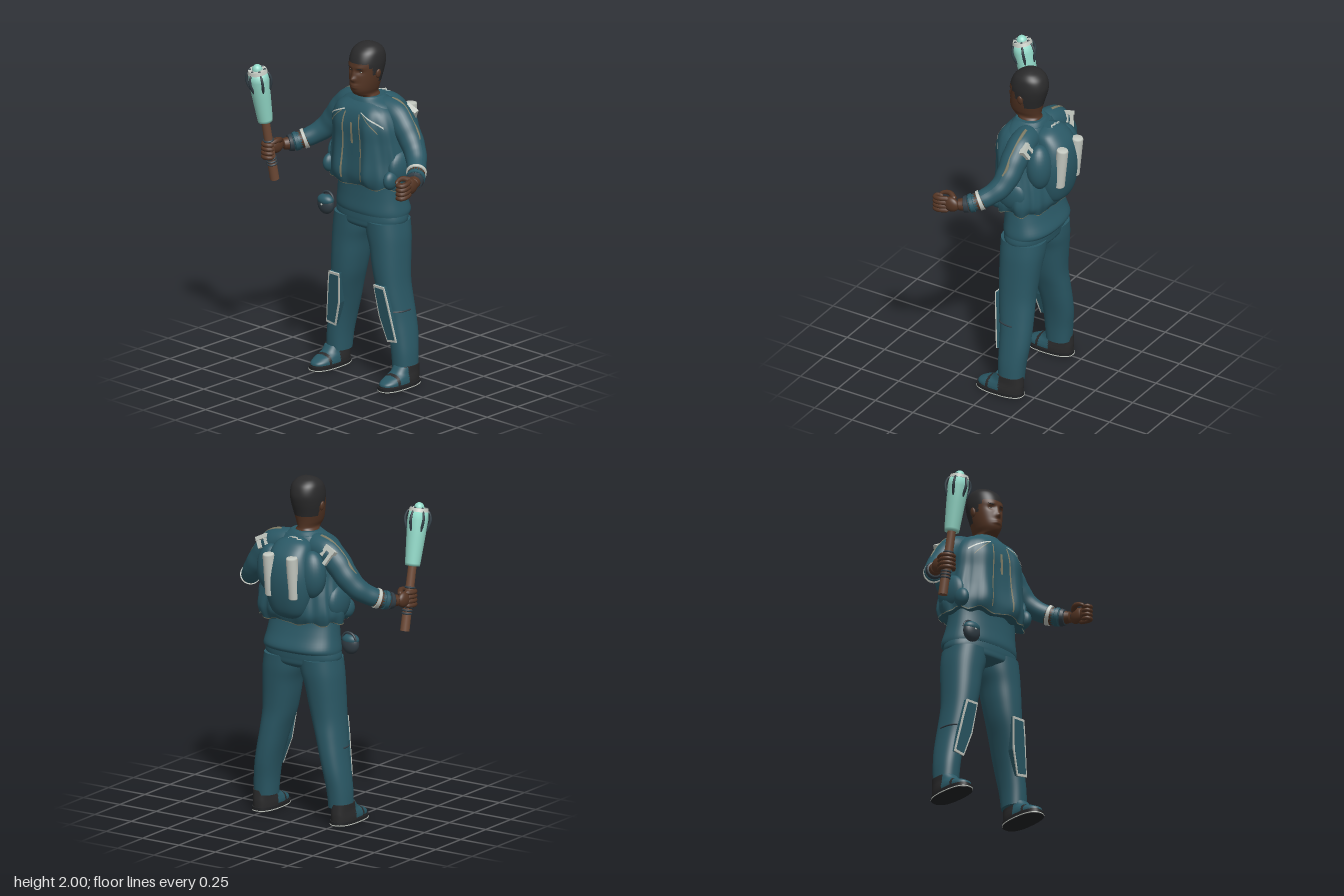
import * as THREE from 'three';

const mat = (name, color, side = THREE.FrontSide) => Object.assign(new THREE.MeshStandardMaterial({ color, side }), { name });

export function createModel() {
  const teal = mat('teal cloth', 0x2a5865), slate = mat('dark slate', 0x323e46), hairM = mat('black hair', 0x2a2a2b),
    skin = mat('brown skin', 0x543524), pale = mat('pale grey', 0xc3c8c0, THREE.DoubleSide), tan = mat('tan trim', 0x807d66, THREE.DoubleSide),
    glow = mat('mint', 0x93dac9), wood = mat('wood', 0x6e4a36), sole = mat('black rubber', 0x222325);
  const root = new THREE.Group();
  const MID = 0.007; // the stance leans slightly to the left
  const add = (name, geo, m, pos = [0, 0, 0], parent = root) => {
    const mesh = new THREE.Mesh(geo, m);
    mesh.name = name;
    mesh.position.set(...pos);
    parent.add(mesh);
    return mesh;
  };
  const blob = (name, m, pos, size, parent) => {
    const mesh = add(name, new THREE.SphereGeometry(1, 28, 18), m, pos, parent);
    mesh.scale.set(...size);
    return mesh;
  };
  const V = (x, y, z) => new THREE.Vector3(x, y, z);
  const bell = (d, w) => Math.exp(-(d * d) / (w * w));

  // Rings are [y, centre x, front z, back z, half width], blended smoothly
  const sample = (rings, u) => {
    const f = Math.min(Math.max(u, 0), 1) * (rings.length - 1), i = Math.min(Math.floor(f), rings.length - 2), t = f - i;
    const at = k => rings[Math.min(Math.max(k, 0), rings.length - 1)];
    return rings[0].map((_, k) => {
      const a = at(i - 1)[k], b = at(i)[k], c = at(i + 1)[k], d = at(i + 2)[k];
      return b + 0.5 * t * (c - a + t * (2 * a - 5 * b + 4 * c - d + t * (3 * (b - c) + d - a)));
    });
  };
  const surface = (rings, a, u, n, tweak) => {
    const [y, cx, zf, zb, rx] = sample(rings, u), pw = v => Math.sign(v) * Math.abs(v) ** (2 / n);
    const p = V(cx + rx * pw(Math.sin(a)), y, (zf + zb) / 2 + (zf - zb) / 2 * pw(Math.cos(a)));
    if (tweak) tweak(p, a, u);
    return p;
  };
  // Closed body from stacked rings; paint picks a material per face
  const loft = (rings, { n = 2, seg = 48, rows = 40, tweak, paint } = {}) => {
    const pts = [], faces = [[], []];
    for (let j = 0; j <= rows; j++)
      for (let i = 0; i < seg; i++) pts.push(surface(rings, i / seg * Math.PI * 2, j / rows, n, tweak));
    const tri = (a, b, c) => {
      const mid = pts[a].clone().add(pts[b]).add(pts[c]).divideScalar(3);
      faces[paint ? paint(mid) : 0].push(a, b, c);
    };
    for (let j = 0; j < rows; j++)
      for (let i = 0; i < seg; i++) {
        const a = j * seg + i, b = j * seg + (i + 1) % seg;
        tri(a, b, b + seg);
        tri(a, b + seg, a + seg);
      }
    for (const j of [0, rows]) {
      const s = pts.length, mid = V(0, 0, 0);
      for (let i = 0; i < seg; i++) { pts.push(pts[j * seg + i].clone()); mid.addScaledVector(pts[s + i], 1 / seg); }
      pts.push(mid);
      for (let i = 0; i < seg; i++) {
        const k = s + (i + 1) % seg;
        j ? tri(s + i, k, s + seg) : tri(k, s + i, s + seg);
      }
    }
    const g = new THREE.BufferGeometry().setFromPoints(pts);
    g.setIndex([...faces[0], ...faces[1]]);
    if (paint) { g.addGroup(0, faces[0].length, 0); g.addGroup(faces[0].length, faces[1].length, 1); }
    g.computeVertexNormals();
    return g;
  };
  // Tube whose radius varies along [x, y, z, radius] points
  const sweep = (path, { t0 = 0, t1 = 1, extra = 0, rows = 32, seg = 20, fold = 0 } = {}) => {
    const full = new THREE.CatmullRomCurve3(path.map(p => V(p[0], p[1], p[2])));
    const curve = new THREE.CatmullRomCurve3(Array.from({ length: 9 }, (_, i) => full.getPoint(t0 + (t1 - t0) * i / 8)));
    const g = new THREE.TubeGeometry(curve, rows, 1, seg), pos = g.attributes.position, v = V(0, 0, 0);
    const radii = path.map(p => [p[3]]);
    for (let k = 0; k < pos.count; k++) {
      const u = Math.floor(k / (seg + 1)) / rows, c = curve.getPointAt(u);
      const end = u === 0 || u === 1 ? 0.55 : 1;
      const r = (sample(radii, t0 + (t1 - t0) * u)[0] + extra) * end * (1 + fold * Math.sin(u * 40));
      v.fromBufferAttribute(pos, k).sub(c).multiplyScalar(r).add(c);
      pos.setXYZ(k, v.x, v.y, v.z);
    }
    g.computeVertexNormals();
    return g;
  };
  const wire = (pts, r) => new THREE.TubeGeometry(new THREE.CatmullRomCurve3(pts), 28, r, 6);

  // Flat ribbon; edge(t, side) gives the two borders
  const ribbon = (edge, steps) => {
    const pts = [], idx = [];
    for (let i = 0; i <= steps; i++) {
      pts.push(edge(i / steps, -1), edge(i / steps, 1));
      if (i) idx.push(2 * i - 2, 2 * i - 1, 2 * i + 1, 2 * i - 2, 2 * i + 1, 2 * i);
    }
    const g = new THREE.BufferGeometry().setFromPoints(pts);
    g.setIndex(idx);
    g.computeVertexNormals();
    return g;
  };

  // Head and neck, with nose, brow, eye sockets and lips raised by rule
  const headRings = [[1.6, .005, .01, -.16, .088], [1.66, .005, .005, -.15, .08], [1.69, .005, .002, -.14, .064],
    [1.708, .005, .032, -.136, .056], [1.74, .005, .05, -.14, .068], [1.79, .005, .05, -.152, .081], [1.85, .005, .047, -.17, .091],
    [1.9, .005, .045, -.178, .094], [1.95, .005, .024, -.165, .086], [1.98, .005, -.01, -.136, .064],
    [1.995, .005, -.045, -.1, .034], [2, .005, -.07, -.074, .002]];
  const face = p => {
    if (p.z < -.02) return;
    const x = p.x - .005, ax = Math.abs(x);
    p.z += .02 * bell(x, .016) * bell(p.y - 1.803, .015) + .01 * bell(x, .012) * bell(p.y - 1.835, .025)
      + .005 * bell(ax - .03, .03) * bell(p.y - 1.872, .012) - .011 * bell(ax - .036, .018) * bell(p.y - 1.848, .014)
      + .008 * bell(x, .026) * (bell(p.y - 1.768, .007) + bell(p.y - 1.754, .007));
  };
  const hairline = p => p.y > (p.z > .005 ? 1.895 : p.z > -.02 ? 1.87 : p.z > -.04 ? 1.825 : p.z > -.075 ? 1.85 : 1.775) ? 1 : 0;
  add('headAndHair', loft(headRings, { seg: 80, rows: 100, n: 2.15, tweak: face, paint: hairline }), [skin, hairM]);
  for (const s of [-1, 1]) {
    blob('ear', skin, [.005 + s * .092, 1.832, -.058], [.01, .028, .018]).rotation.z = -s * .15;
    blob('eyeWhite', pale, [.005 + s * .036, 1.848, .027], [.01, .0035, .005]);
    blob('iris', sole, [.005 + s * .035, 1.848, .0305], [.005, .004, .003]);
    blob('eyebrow', hairM, [.005 + s * .037, 1.869, .0385], [.02, .004, .005]).rotation.set(0, s * .4, s * .15);
  }

  // Shirt and trouser seat
  add('shirt', loft([[.998, MID, .03, -.255, .237], [1.025, MID, .035, -.265, .237], [1.1, MID, .03, -.235, .224],
    [1.2, MID, .03, -.21, .216], [1.35, MID, .05, -.21, .22], [1.5, MID, .06, -.2, .212], [1.6, MID, .055, -.19, .19],
    [1.65, MID, .025, -.18, .16], [1.68, MID, .01, -.165, .1], [1.69, MID, .002, -.155, .085]], { n: 2.4 }), teal);
  add('trouserSeat', loft([[.895, MID, -.03, -.18, .1], [.92, MID, .02, -.225, .2], [.96, MID, .028, -.235, .238],
    [1.01, MID, .028, -.24, .234]], { n: 2.3 }), teal);

  // Quilted vest with folds, puffed front edges and a wavy hem
  const vestRings = [[1.18, .015, .065, -.26, .255], [1.24, .015, .075, -.28, .268], [1.34, .015, .07, -.27, .255],
    [1.44, .015, .07, -.245, .24], [1.54, .01, .074, -.225, .23], [1.62, .008, .055, -.2, .19], [1.67, .007, .012, -.175, .12]];
  const folds = (p, a, u) => {
    const low = Math.max(0, 1 - u * 1.15), k = 1 + .03 * low * Math.sin(a * 11 + 4 * u) + .012 * low * Math.sin(a * 23);
    p.x = .01 + (p.x - .01) * k;
    p.z = -.09 + (p.z + .09) * k;
    if (p.z > 0) p.z += bell(Math.abs(p.x - .015) - .11, .045) * (.016 * Math.sin(Math.PI * u) + .018 * bell(u - .2, .2));
    p.y += .011 * Math.sin(a * 9) * Math.max(0, 1 - u * 7);
  };
  add('vest', loft(vestRings, { n: 2.6, seg: 110, rows: 50, tweak: folds }), teal);
  // Trim lies just off the cloth; da and du give its half width
  const vestTrim = (name, m, [a0, u0], [a1, u1], da, du, steps = 24) => add(name, ribbon((t, side) => {
    const p = surface(vestRings, a0 + (a1 - a0) * t + side * da, u0 + (u1 - u0) * t + side * du, 2.6, folds);
    return p.set(.01 + (p.x - .01) * 1.014, p.y, -.09 + (p.z + .09) * 1.014);
  }, steps), m);
  vestTrim('hemTrim', tan, [0, .011], [Math.PI * 2, .011], 0, .009, 220);
  vestTrim('chestPatch', tan, [0, .48], [0, .69], .012, 0);
  for (const s of [-1, 1]) {
    vestTrim('frontTrim', tan, [s * .2, .1], [s * .17, .8], .018, 0, 40);
    vestTrim('chestTrim', pale, [s * 1.0, .68], [s * .22, .83], 0, .01);
    vestTrim('chestTrim', tan, [s * .75, .62], [s * .3, .8], 0, .008);
    blob('sidePocket', teal, [.012 + s * .235, 1.3, -.09], [.045, .1, .1]);
    blob('sidePocket', teal, [.012 + s * .235, 1.24, .0], [.035, .055, .05]);
  }

  // Backpack with side bulges, top piping and two canisters
  const packRings = [[1.2, .005, -.15, -.26, .06], [1.24, .005, -.15, -.315, .11], [1.34, .005, -.15, -.345, .14],
    [1.46, .005, -.14, -.355, .145], [1.57, .005, -.14, -.335, .125], [1.64, .005, -.14, -.28, .1], [1.67, .005, -.17, -.23, .04]];
  add('backpack', loft(packRings, { n: 2.4 }), teal);
  add('packPiping', wire(Array.from({ length: 25 }, (_, i) => V(-.005 + (i - 12) * .0045, 1.674 - Math.abs(i - 12) * .0012,
    -.222 + .006 * Math.sin(i * .9))), .005), pale);
  for (const s of [-1, 1]) {
    blob('packBulge', teal, [.012 + s * .14, 1.47, -.22], [.085, .14, .075]);
    const can = add('canister', new THREE.LatheGeometry([[0, -.125], [.026, -.125], [.031, -.118], [.034, .115], [.03, .124], [0, .125]]
      .map(p => new THREE.Vector2(...p)), 28), pale, [.01 + s * .08, 1.465, -.327]);
    can.rotation.x = -.09;
    // Pale forked strap behind each shoulder
    const strap = new THREE.Group();
    strap.name = 'shoulderStrap';
    strap.position.set(MID + s * .235, 1.622, -.178);
    strap.rotation.set(.35, 0, -s * .5);
    root.add(strap);
    add('strapBar', new THREE.BoxGeometry(.075, .024, .034), pale, [0, 0, 0], strap);
    add('strapLeg', new THREE.BoxGeometry(.022, .085, .02), pale, [-.022, -.045, -.004], strap);
    add('strapLeg', new THREE.BoxGeometry(.022, .055, .02), pale, [.026, -.03, -.004], strap);
  }

  for (const s of [-1, 1]) {
    const X = x => MID + s * x;
    // Sleeve, cuffs and sleeve stripe
    const arm = [[.07, 1.6, -.105, .08], [.165, 1.598, -.12, .08], [.25, 1.525, -.115, .075], [.335, 1.415, -.1, .066],
      [.41, 1.347, -.035, .056], [.475, 1.313, .045, .047], [.507, 1.305, .1, .032]].map(p => [X(p[0]), ...p.slice(1)]);
    add('wrist', sweep(arm, { t0: .7, t1: 1 }), skin);
    add('sleeve', sweep(arm, { t1: .86, rows: 60, seg: 32, fold: .012 }), teal);
    for (const [name, m, t0, t1] of [['paleBand', pale, .712, .748], ['tealCuff', teal, .785, .83], ['darkCuff', slate, .84, .915]])
      add(name, sweep(arm, { t0, t1, extra: .006, rows: 12 }), m);
    const axis = new THREE.CatmullRomCurve3(arm.map(p => V(p[0], p[1], p[2])));
    const stripe = Array.from({ length: 12 }, (_, i) => {
      const t = .11 + i / 11 * .34, d = axis.getTangent(t), up = V(0, 1, -.12).addScaledVector(d, -d.y).normalize();
      return axis.getPoint(t).addScaledVector(up, sample(arm.map(p => [p[3]]), t)[0] - .008);
    });
    add('sleeveStripe', wire(stripe, .0115), tan);
    // Curled hand: open round the club on the right, a looser fist on the left
    blob('palm', skin, [X(.522), 1.305, .135], [.027, .046, .052]);
    if (s > 0) blob('palmHeel', skin, [X(.526), 1.302, .19], [.022, .042, .036]);
    const tips = s < 0 ? [[.53, .235], [.492, .233], [.476, .205]] : [[.541, .23], [.512, .232], [.507, .195]];
    for (let f = 0; f < 4; f++) {
      const y = 1.34 - f * .025;
      add('finger', sweep([[X(.528), y, .145, .014], [X(.548), y - .003, .195, .014],
        ...tips.map(([x, z], i) => [X(x), y - .007, z, .013 - i * .001])], { rows: 16, seg: 10 }), skin);
    }
    add('thumb', sweep([[.51, 1.335, .115, .016], [.485, 1.35, .16, .016], [.485, 1.345, .2, .013], [.495, 1.335, .222, .01]]
      .map(p => [X(p[0]), ...p.slice(1)]), { rows: 16, seg: 10 }), skin);

    // Trouser leg: [y, inner x, outer x, front z, back z]
    const leg = [[.1, .19, .322, -.03, -.18], [.2, .182, .318, -.025, -.19], [.3, .165, .305, -.022, -.203], [.4, .14, .288, -.015, -.207],
      [.5, .112, .273, .002, -.205], [.6, .08, .262, .014, -.202], [.7, .057, .257, .02, -.21], [.8, .038, .253, .022, -.222],
      [.88, .012, .248, .025, -.232], [.96, .0, .236, .027, -.236]]
      .map(([y, a, b, f, k]) => [y, X((a + b) / 2), f, k, (b - a) / 2]);
    add('trouserLeg', loft(leg, { n: 2.3 }), teal);
    add('kneeStrap', wire(Array.from({ length: 8 }, (_, i) => surface(leg, s * (.5 + i * .17), .385, 2.3)), .005), slate);
    // Shin guard with a raised panel inside a pale border
    const guard = grow => new THREE.Shape([[-.04, .165], [.035, .165], [.04, .08], [.047, -.155], [-.02, -.165], [-.045, -.02]]
      .map(([x, y]) => new THREE.Vector2(s * (x * (1 + grow) + y * -.14), y * (1 + grow * .4))));
    const shin = new THREE.Group();
    shin.name = 'shinGuard';
    shin.position.set(X(.2), .435, -.035);
    shin.rotation.x = .13;
    root.add(shin);
    const layers = [['guardBase', teal, .06, 0, .038], ['guardBorder', pale, .08, .037, .008], ['guardPanel', teal, -.14, .02, .0265]];
    for (const [name, m, grow, z, depth] of layers)
      add(name, new THREE.ExtrudeGeometry(guard(grow), { depth, bevelEnabled: false }), m, [0, 0, z], shin);

    // Shoe: dark heel and straps, teal front, layered sole
    const fx = X(.268);
    const shoePaint = p => p.z < -.06 || Math.abs(p.z - .018) < .009 || p.y < .034 ? 1 : 0;
    add('shoeUpper', loft([[.018, fx, .1, -.183, .064], [.045, fx, .098, -.185, .065], [.066, fx, .065, -.186, .062],
      [.09, fx, .01, -.185, .058], [.125, fx, -.022, -.183, .058]], { n: 2.4, seg: 110, paint: shoePaint }), [teal, hairM]);
    for (const [y, top, w, m, name] of [[0, .004, 0, sole, 'outsole'], [.004, .009, .002, pale, 'soleLine'], [.009, .026, 0, sole, 'sole']])
      add(name, loft([[y, fx, .11 + w, -.19 - w, .069 + w], [top, fx, .11 + w, -.19 - w, .069 + w]], { n: 2.5, rows: 2 }), m);
  }

  // Belt pouch
  blob('pouch', slate, [-.2, 1.01, .06], [.056, .06, .036]);
  blob('pouchFlap', teal, [-.2, 1.035, .062], [.054, .034, .037]);
  add('pouchLoop', new THREE.TorusGeometry(.045, .007, 8, 24, Math.PI), slate, [-.2, 1.035, .045]);
  blob('pouchButton', pale, [-.2, 1.015, .097], [.006, .006, .004]);

  // Club held in the right hand
  const club = new THREE.Group();
  club.name = 'club';
  club.position.set(-.505, 1.112, .16);
  club.rotation.x = .205;
  root.add(club);
  add('handle', new THREE.CylinderGeometry(.024, .027, .4, 20), wood, [0, .2, 0], club);
  for (const y of [.1, .118, .136, .25])
    add('gripWrap', new THREE.TorusGeometry(.026, .006, 8, 24), slate, [0, y, 0], club).rotation.x = Math.PI / 2;
  add('clubHead', new THREE.LatheGeometry([[0, .375], [.042, .375], [.044, .39], [.054, .54], [.06, .64], [.054, .69], [0, .69]]
    .map(p => new THREE.Vector2(...p)), 32), glow, [0, 0, 0], club);
  add('clubRing', new THREE.CylinderGeometry(.052, .058, .02, 32), pale, [0, .697, 0], club);
  blob('clubTip', glow, [0, .705, 0], [.03, .033, .03], club);
  for (let i = 0; i < 6; i++) {
    const claw = new THREE.Group();
    claw.name = 'claw';
    claw.rotation.y = (i + .5) / 6 * Math.PI * 2;
    club.add(claw);
    add('clawArm', sweep([[.057, .575, 0, .005], [.063, .6, 0, .008], [.073, .64, 0, .008], [.068, .67, 0, .007], [.058, .692, 0, .005]],
      { rows: 16, seg: 8 }), slate, [0, 0, 0], claw);
    blob('clawStud', slate, [.043, .707, 0], [.008, .006, .007], claw);
  }
  return root;
}
